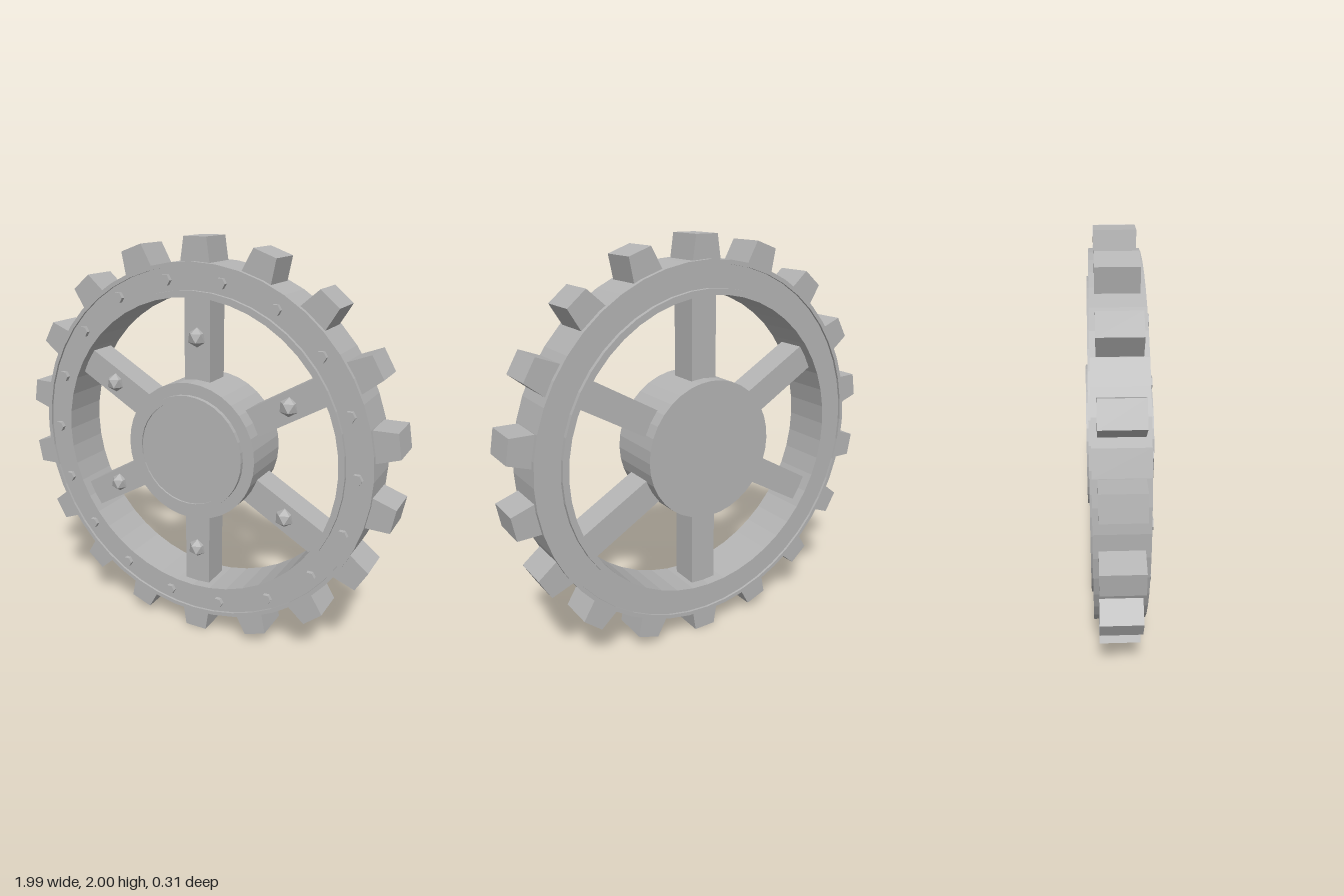
import * as THREE from 'three';

const MID_Z = -0.018; // middle plane of rim, teeth and spokes

export function createModel() {
  const model = new THREE.Group();
  const metal = new THREE.MeshStandardMaterial({ color: 0xb4b4b4 });
  metal.name = 'light grey metal';
  metal.flatShading = true;

  const wheel = new THREE.Group();
  wheel.name = 'gearWheel';
  wheel.position.y = 1;
  model.add(wheel);

  const add = (name, geometry) => {
    const mesh = new THREE.Mesh(geometry, metal);
    mesh.name = name;
    wheel.add(mesh);
    return mesh;
  };

  // Turned part around the z axis from [radius, z] pairs, counterclockwise
  const turned = (profile, segments) => new THREE.LatheGeometry(
    profile.map(([r, z]) => new THREE.Vector2(r, z)), segments).rotateX(Math.PI / 2);

  // Rim: outer lip, slightly sunken faces, raised inner sleeve
  add('rim', turned([
    [0.735, -0.143], [0.765, -0.143], [0.765, -0.122], [0.872, -0.122],
    [0.872, -0.134], [0.892, -0.134], [0.892, 0.098], [0.872, 0.098],
    [0.872, 0.086], [0.765, 0.086], [0.765, 0.105], [0.735, 0.105], [0.735, -0.143],
  ], 48));

  // Hub with a stepped cap and sunken centre on the front
  add('hub', turned([
    [0, -0.155], [0.342, -0.155], [0.342, 0.132], [0.285, 0.132],
    [0.285, 0.155], [0.258, 0.155], [0.258, 0.146], [0, 0.146],
  ], 36));

  // Tapered teeth and the bolts set between them
  const toothShape = new THREE.Shape([
    new THREE.Vector2(-0.078, 0.87), new THREE.Vector2(0.078, 0.87),
    new THREE.Vector2(0.058, 1), new THREE.Vector2(-0.058, 1),
  ]);
  const toothGeometry = new THREE.ExtrudeGeometry(toothShape, { depth: 0.186, bevelEnabled: false })
    .translate(0, 0, MID_Z - 0.093);
  const boltGeometry = new THREE.CylinderGeometry(0.027, 0.027, 0.03, 6)
    .rotateY(Math.PI / 6).rotateX(Math.PI / 2);
  const count = 18;
  for (let i = 0; i < count; i++) {
    const angle = (i / count) * Math.PI * 2;
    add('tooth', toothGeometry).rotation.z = angle;
    add('rimBolt', boltGeometry).position.set(Math.cos(angle) * 0.816, Math.sin(angle) * 0.816, 0.092);
  }

  // Square spokes, each with a faceted stud (one corner straight up) on the front
  const spokeGeometry = new THREE.BoxGeometry(0.135, 0.455, 0.144).translate(0, 0.5275, MID_Z);
  const studGeometry = new THREE.IcosahedronGeometry(0.047, 0).rotateZ(0.5536);
  for (let i = 0; i < 6; i++) {
    const angle = (i / 6) * Math.PI * 2;
    add('spoke', spokeGeometry).rotation.z = angle;
    add('spokeStud', studGeometry).position.set(-Math.sin(angle) * 0.544, Math.cos(angle) * 0.544, 0.055);
  }

  return model;
}
